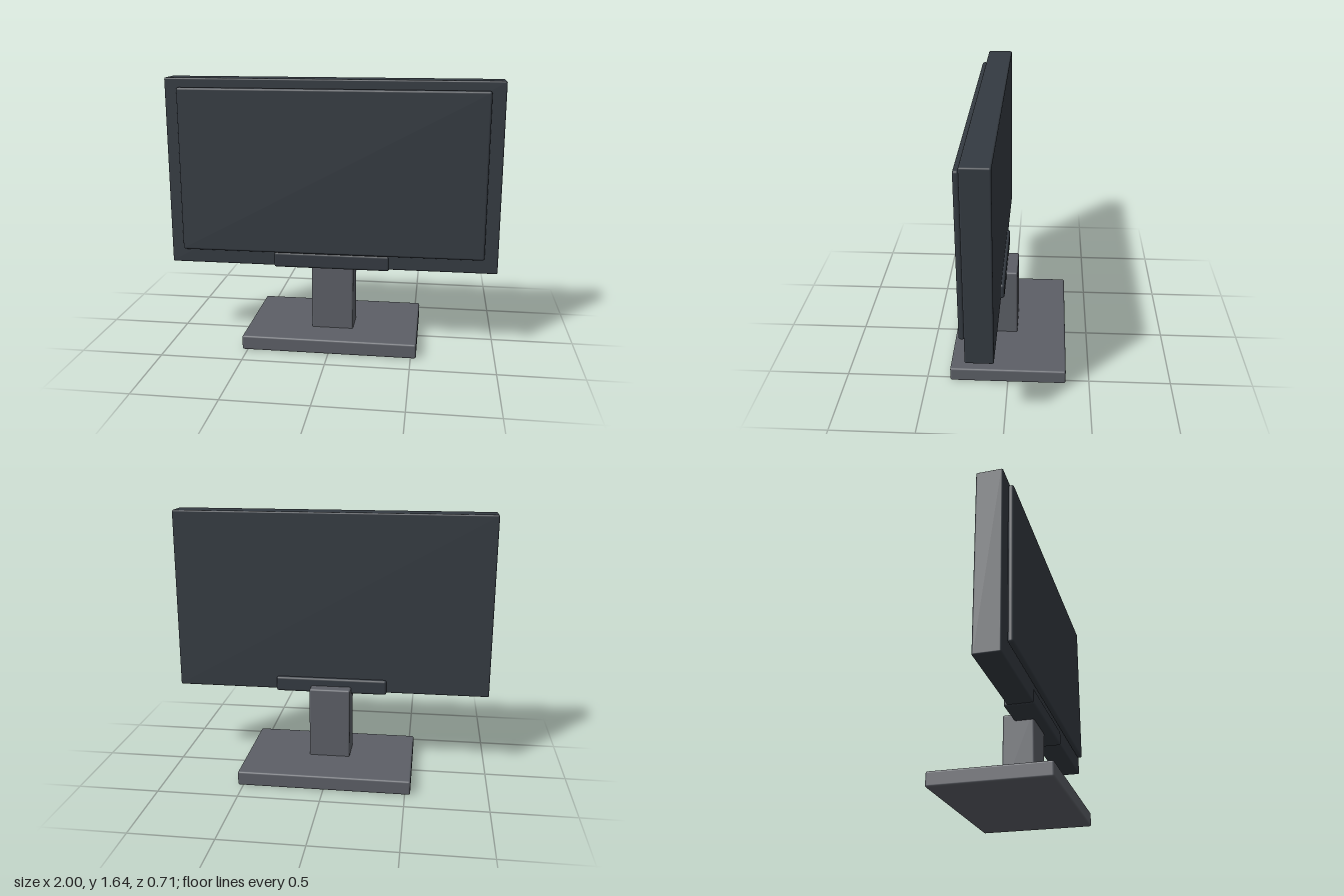
import * as THREE from 'three';
import { RoundedBoxGeometry } from 'three/addons/geometries/RoundedBoxGeometry.js';

export function createModel() {
  const model = new THREE.Group();
  model.name = 'desktopMonitor';

  const casing = new THREE.MeshStandardMaterial({ color: 0x343a41 });
  casing.name = 'dark slate casing';
  const standGrey = new THREE.MeshStandardMaterial({ color: 0x5c5f66 });
  standGrey.name = 'stand grey';

  // Softly rounded box, centred on x, given by its half width and y, z ranges
  function block(name, material, halfWidth, [y0, y1], [z0, z1], radius) {
    const geometry = new RoundedBoxGeometry(2 * halfWidth, y1 - y0, z1 - z0, 3, radius);
    const mesh = new THREE.Mesh(geometry, material);
    mesh.name = name;
    mesh.position.set(0, (y0 + y1) / 2, (z0 + z1) / 2);
    model.add(mesh);
  }

  // Foot and upright
  block('base', standGrey, 0.533, [0, 0.09], [-0.355, 0.355], 0.012);
  block('standColumn', standGrey, 0.13, [0.07, 0.54], [-0.042, 0.152], 0.012);

  // Clamp joining the column to the display
  block('hingeBracket', casing, 0.355, [0.495, 0.59], [0.028, 0.21], 0.015);

  // Display housing and the raised screen panel on its front
  block('displayHousing', casing, 1, [0.505, 1.645], [0.048, 0.205], 0.01);
  block('screenPanel', casing, 0.918, [0.597, 1.59], [0.21, 0.244], 0.014);

  return model;
}
